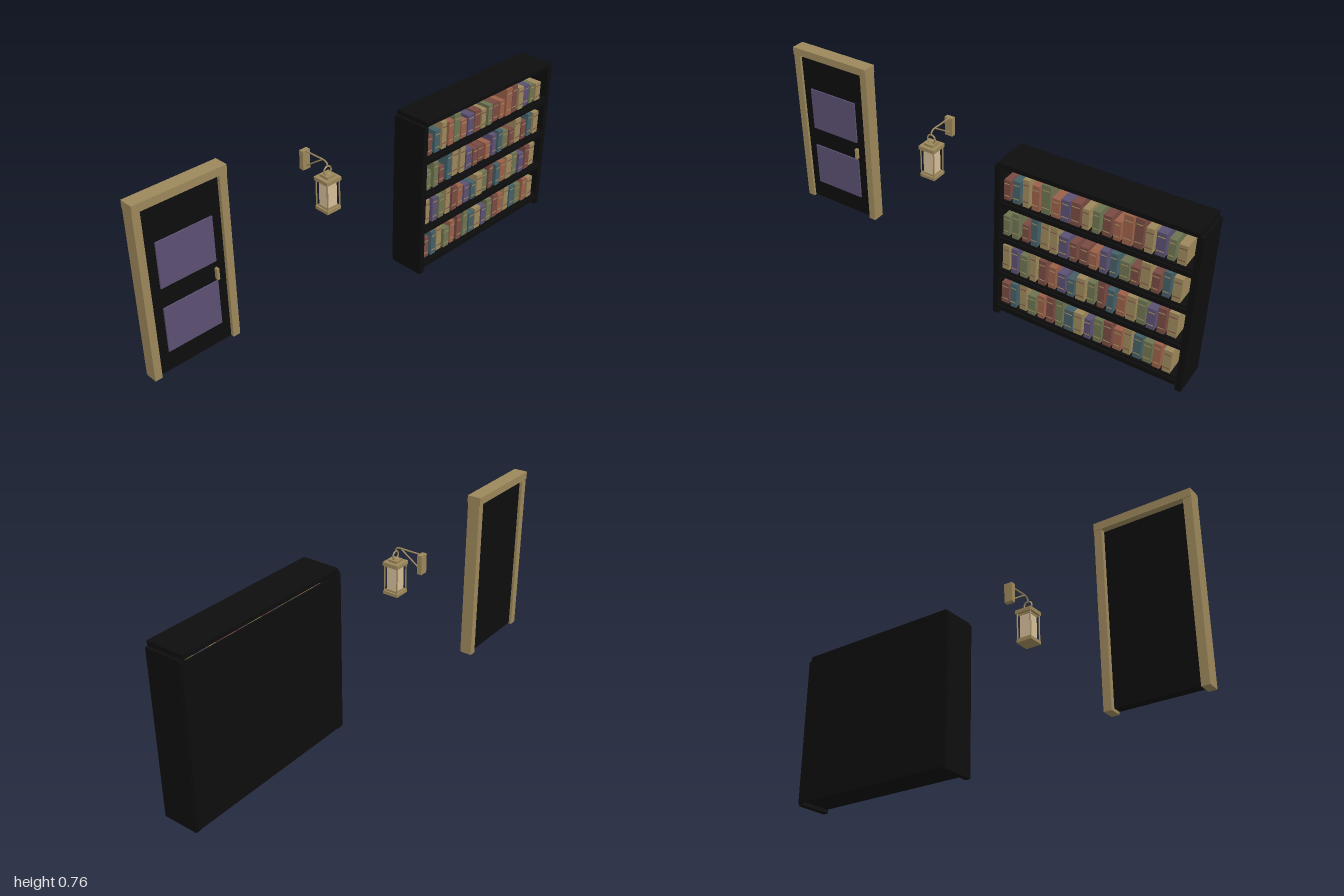
import * as THREE from 'three';

const mat = (name, color) => {
  const m = new THREE.MeshStandardMaterial({ color });
  m.name = name;
  return m;
};

export function createModel() {
  const wood = mat('tan wood', 0x9c875b);
  const black = mat('near black wood', 0x0d0d0d);
  const purple = mat('muted purple', 0x5b5072);
  const cream = mat('lamp glass', 0xd6be9a);
  const red = mat('red brown', 0x784a42);
  const orange = mat('burnt orange', 0x9a6049);
  const teal = mat('slate teal', 0x445f66);
  const green = mat('olive green', 0x6d7350);

  const model = new THREE.Group();
  const group = (name) => {
    const g = new THREE.Group();
    g.name = name;
    model.add(g);
    return g;
  };
  const add = (parent, name, geo, material) => {
    const m = new THREE.Mesh(geo, material);
    m.name = name;
    parent.add(m);
    return m;
  };
  // Box given by its limits along each axis
  const box = (parent, name, material, x0, x1, y0, y1, z0, z1) => {
    const m = add(parent, name, new THREE.BoxGeometry(x1 - x0, y1 - y0, z1 - z0), material);
    m.position.set((x0 + x1) / 2, (y0 + y1) / 2, (z0 + z1) / 2);
    return m;
  };
  const rod = (parent, name, material, points, r) =>
    add(parent, name, new THREE.TubeGeometry(
      new THREE.CatmullRomCurve3(points.map((p) => new THREE.Vector3(...p))), 20, r, 8), material);

  // Door with frame, two panels and a handle
  const door = group('door');
  box(door, 'leftPost', wood, -0.637, -0.605, 0.005, 0.73, -0.14, -0.085);
  box(door, 'rightPost', wood, -1, -0.968, 0.005, 0.73, -0.14, -0.085);
  box(door, 'lintel', wood, -1, -0.605, 0.73, 0.763, -0.143, -0.082);
  box(door, 'doorLeaf', black, -0.964, -0.642, 0.012, 0.72, -0.13, -0.093);
  box(door, 'upperPanel', purple, -0.925, -0.682, 0.385, 0.58, -0.093, -0.087);
  box(door, 'lowerPanel', purple, -0.925, -0.682, 0.1, 0.297, -0.093, -0.087);
  box(door, 'handle', wood, -0.69, -0.679, 0.307, 0.355, -0.093, -0.078);

  // Bookcase shell
  const shelfCase = group('bookcase');
  box(shelfCase, 'rightSide', black, 0.178, 0.203, 0, 0.696, -0.015, 0.14);
  box(shelfCase, 'leftSide', black, 0.973, 0.998, 0, 0.696, -0.015, 0.14);
  box(shelfCase, 'topBoard', black, 0.192, 0.985, 0.696, 0.714, -0.018, 0.145);
  box(shelfCase, 'backPanel', black, 0.182, 0.994, 0.01, 0.69, -0.022, -0.014);
  box(shelfCase, 'plinth', black, 0.203, 0.973, 0.016, 0.035, -0.014, 0.134);

  // Four shelves filled with books; heights in hundredths of the tallest size
  const rows = [
    { y: 0.555, colors: 'rtwogoprwgroorwpgw', h: [16, 18, 22, 20, 23, 15, 17, 18, 16, 17, 16, 15, 23, 23, 19, 18, 16, 15] },
    { y: 0.394, colors: 'ggrtwwprroptgrwrtw', h: [16, 21, 14, 23, 22, 22, 17, 15, 14, 14, 18, 19, 15, 14, 21, 16, 20, 19] },
    { y: 0.228, colors: 'wpgwroptwgrtowgprw', h: [21, 21, 19, 23, 21, 18, 16, 15, 19, 18, 22, 19, 18, 20, 20, 17, 21, 20] },
    { y: 0.06, colors: 'rtwgorgtwpgrowtgow', h: [18, 21, 23, 17, 20, 22, 23, 18, 19, 17, 20, 21, 18, 22, 20, 18, 21, 19] },
  ];
  const cover = { r: red, t: teal, w: wood, o: orange, g: green, p: purple };
  for (const { y, colors, h } of rows) {
    box(shelfCase, 'shelf', black, 0.203, 0.973, y - 0.024, y - 0.002, -0.014, 0.136);
    box(shelfCase, 'shelfLip', black, 0.2, 0.976, y - 0.03, y - 0.011, 0.136, 0.145);
    h.forEach((size, i) => {
      const x = 0.227 + i * 0.0412;
      const half = 0.0135 + ((i * 7 + size) % 4) * 0.0016;
      const top = y + size * 0.0053;
      const front = 0.126 + ((i * 5 + size) % 3) * 0.003;
      box(shelfCase, 'book', cover[colors[i]], x - half, x + half, y - 0.002, top, 0.02, front);
      // Thin bands across the spine
      const trim = colors[i] === 'w' ? red : wood;
      for (const f of [0.18, 0.8]) {
        const b = y + (top - y) * f;
        box(shelfCase, 'spineBand', trim, x - half * 0.8, x + half * 0.8, b, b + 0.003, front, front + 0.002);
      }
    });
  }

  // Wall lantern
  const lantern = group('lantern');
  const cx = -0.208, cz = 0.004;
  const tier = (name, material, hx, y0, y1) =>
    box(lantern, name, material, cx - hx, cx + hx, y0, y1, cz - hx, cz + hx);
  tier('base', wood, 0.035, 0.441, 0.455);
  tier('lowerCollar', wood, 0.027, 0.455, 0.462);
  tier('glass', cream, 0.024, 0.462, 0.562);
  tier('cap', wood, 0.037, 0.568, 0.584);
  tier('upperCollar', wood, 0.027, 0.561, 0.568);
  tier('capTop', wood, 0.021, 0.584, 0.594);
  for (const sx of [-1, 1]) for (const sz of [-1, 1]) {
    const post = add(lantern, 'cornerPost', new THREE.CylinderGeometry(0.003, 0.003, 0.115, 8), wood);
    post.position.set(cx + sx * 0.031, 0.511, cz + sz * 0.031);
  }
  const ring = add(lantern, 'hangingRing', new THREE.TorusGeometry(0.018, 0.0035, 8, 24), wood);
  ring.position.set(cx, 0.61, cz);

  // Bracket holding the lantern
  box(lantern, 'wallPlate', wood, cx - 0.018, cx + 0.018, 0.568, 0.65, -0.134, -0.113);
  rod(lantern, 'arm', wood,
    [[cx, 0.647, -0.115], [cx, 0.647, -0.06], [cx, 0.647, -0.012], [cx, 0.641, 0.001], [cx, 0.627, cz]], 0.0035);
  rod(lantern, 'strut', wood, [[cx, 0.583, -0.115], [cx, 0.615, -0.069], [cx, 0.646, -0.022]], 0.003);

  return model;
}
